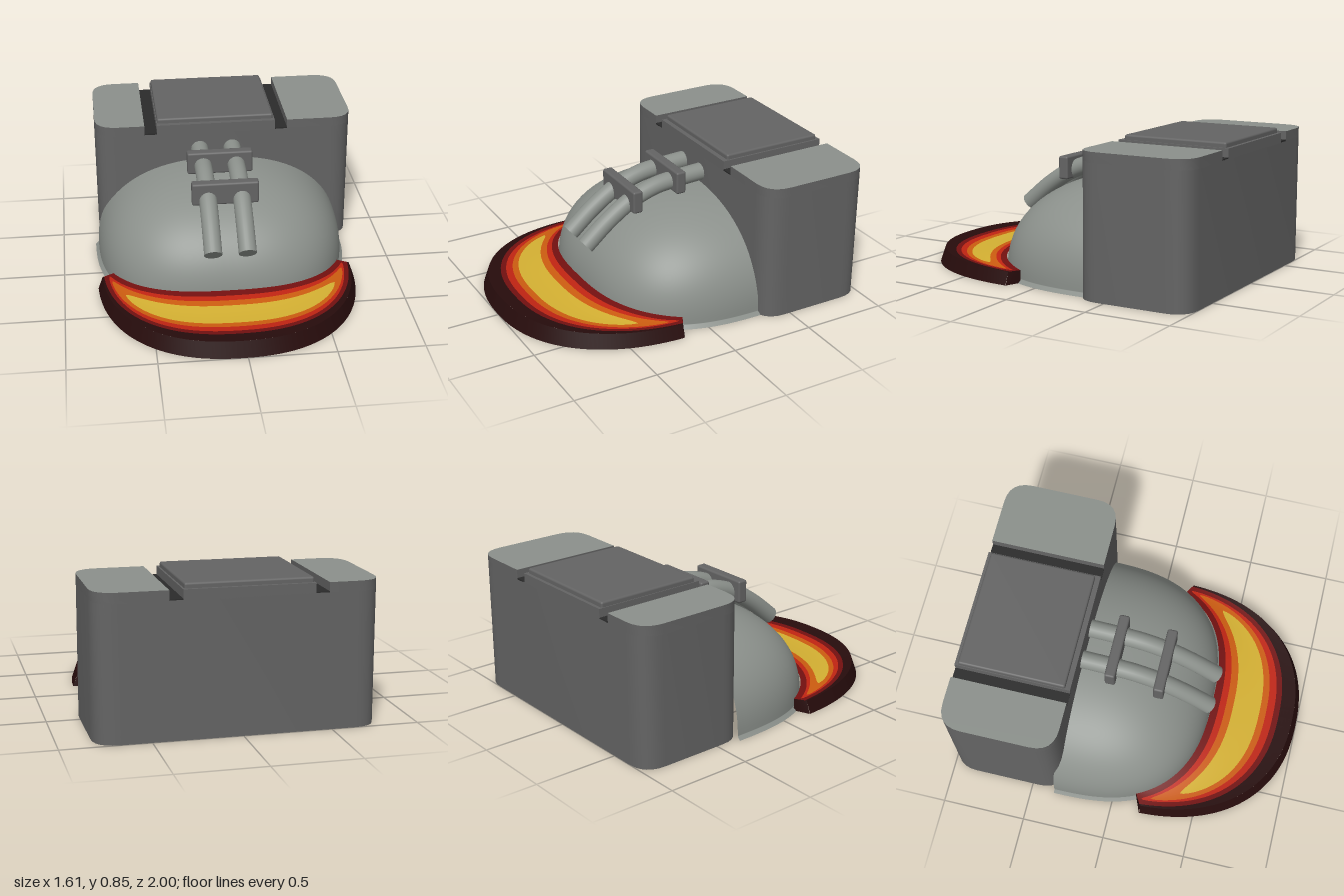
import * as THREE from 'three';
import { toCreasedNormals } from 'three/addons/utils/BufferGeometryUtils.js';
import { RoundedBoxGeometry } from 'three/addons/geometries/RoundedBoxGeometry.js';
import { ParametricGeometry } from 'three/addons/geometries/ParametricGeometry.js';

const mat = (name, color, open = false) => {
  const m = new THREE.MeshStandardMaterial({ color });
  m.name = name;
  if (open) m.side = THREE.DoubleSide;
  return m;
};

// Point on a superellipse, angle measured from +z
const power = (v, e) => Math.sign(v) * Math.abs(v) ** e;
const oval = (angle, a, b, p, zc) => [
  CX + a * power(Math.sin(angle), 2 / p),
  zc + b * Math.max(0, Math.cos(angle)) ** (2 / p),
];
const CX = -0.025;
const domePlan = (angle, k = 1) => oval(angle, 0.755 * k, 0.82 * k, 2.7, -0.36);
const rimPlan = (angle) => oval(angle, 0.775, 0.9, 2.3, 0.1);

export function createModel() {
  const group = new THREE.Group();
  const darkGrey = mat('darkGrey', 0x646464);
  const lightGrey = mat('lightGrey', 0x8b908b, true);
  const black = mat('black', 0x2b2b2b);
  const crust = mat('crust', 0x270c0c, true);
  const darkRed = mat('darkRed', 0x731010, true);
  const red = mat('red', 0xc02412, true);
  const orange = mat('orange', 0xcc5c10, true);
  const yellow = mat('yellow', 0xd4b032, true);

  const add = (name, geometry, material, x = 0, y = 0, z = 0) => {
    const mesh = new THREE.Mesh(geometry, material);
    mesh.name = name;
    mesh.position.set(x, y, z);
    group.add(mesh);
    return mesh;
  };
  const surface = (fn, nu, nv) => {
    const g = new ParametricGeometry((u, v, out) => out.set(...fn(u, v)), nu, nv);
    g.computeVertexNormals();
    return g;
  };

  // Upright block with optionally rounded left and right vertical corners
  const block = (x0, x1, y0, y1, roundMin, roundMax) => {
    const n = 0.32, f = 1.0, s = new THREE.Shape();
    const a = roundMin ? 0.14 : 0, b = roundMax ? 0.14 : 0;
    s.moveTo(x0 + a, n);
    s.lineTo(x1 - b, n);
    if (b) s.quadraticCurveTo(x1, n, x1, n + b);
    s.lineTo(x1, f - b);
    if (b) s.quadraticCurveTo(x1, f, x1 - b, f);
    s.lineTo(x0 + a, f);
    if (a) s.quadraticCurveTo(x0, f, x0, f - a);
    s.lineTo(x0, n + a);
    if (a) s.quadraticCurveTo(x0, n, x0 + a, n);
    const g = new THREE.ExtrudeGeometry(s, { depth: y1 - y0, bevelEnabled: false, curveSegments: 6 });
    g.rotateX(-Math.PI / 2).translate(0, y0, 0);
    return toCreasedNormals(g, 0.6);
  };

  // Rear housing: body, three top sections and the grooves between them
  add('housingBody', block(-0.77, 0.81, 0, 0.765, true, true), darkGrey);
  add('housingEndRight', block(-0.77, -0.47, 0.76, 0.82, true, false), [lightGrey, darkGrey]);
  add('housingEndLeft', block(0.405, 0.81, 0.76, 0.82, false, true), [lightGrey, darkGrey]);
  add('housingCentre', block(-0.395, 0.33, 0.76, 0.82, false, false), darkGrey);
  for (const x of [-0.4325, 0.3675]) {
    add('grooveFloor', new THREE.BoxGeometry(0.075, 0.009, 0.68), black, x, 0.766, -0.66);
  }
  add('lid', new RoundedBoxGeometry(0.71, 0.06, 0.63, 2, 0.012), darkGrey, -0.035, 0.82, -0.665);

  // Rounded front dome with a slightly flared foot
  add('dome', surface((u, v) => {
    const angle = (u - 0.5) * Math.PI;
    const t = Math.max(0, (v - 0.04) / 0.96) * Math.PI / 2;
    const k = v < 0.02 ? 1.025 : Math.max(0, Math.cos(t)) ** (2 / 2.3);
    const y = v < 0.02 ? 0 : 0.02 + 0.57 * Math.sin(t) ** (2 / 2.3);
    const [x, z] = domePlan(angle, k);
    return [x, y, z];
  }, 96, 48), lightGrey);
  const outline = [];
  for (let i = 0; i <= 64; i++) {
    outline.push(new THREE.Vector2(...domePlan((i / 64 - 0.5) * Math.PI, 1.02)));
  }
  const floor = new THREE.ShapeGeometry(new THREE.Shape(outline));
  floor.rotateX(Math.PI / 2);
  add('domeFloor', floor, black, 0, 0.003, 0);

  // Crescent sheet: s runs end to end (-1..1), f from the dome (0) to the rim (1)
  const crescent = (s, f) => {
    const [xi, zi] = domePlan(s * 1.04, 1.005);
    const [xo, zo] = rimPlan(s * 1.51);
    const inner = 0.108 - 0.033 * s * s;
    const outer = 0.093 - 0.018 * s * s;
    const dip = 0.022 * Math.sin(Math.PI * f) * (1 - s * s);
    const pull = 0.965; // rim top sits just inside its foot
    return [
      THREE.MathUtils.lerp(xi, CX + (xo - CX) * pull, f),
      THREE.MathUtils.lerp(inner, outer, f) - dip,
      THREE.MathUtils.lerp(zi, 0.1 + (zo - 0.1) * pull, f),
    ];
  };
  // Each band boundary closes towards the middle at its own tip
  const MID = 0.43;
  const edge = (f, tip) => (s) =>
    MID + (f - MID) * Math.sqrt(Math.max(0, 1 - (s / tip) ** 4));
  const bounds = [
    () => 0, edge(0.09, 0.98), edge(0.17, 0.92), edge(0.26, 0.72),
    edge(0.59, 0.72), edge(0.67, 0.92), edge(0.76, 0.98),
    (s) => 0.83 + 0.03 * s * s, () => 1,
  ];
  const bands = [darkRed, red, orange, yellow, orange, red, darkRed, crust];
  bands.forEach((material, i) => {
    add('crescentBand', surface((u, v) => {
      const s = Math.sin((u - 0.5) * Math.PI);
      return crescent(s, THREE.MathUtils.lerp(bounds[i](s), bounds[i + 1](s), v));
    }, 96, 4), material);
  });

  // Outer wall and the two end walls of the crescent
  add('crescentRim', surface((u, v) => {
    const s = u * 2 - 1;
    const [x, y, z] = crescent(s, 1);
    const [xf, zf] = rimPlan(s * 1.51);
    return [THREE.MathUtils.lerp(xf, x, v), y * v, THREE.MathUtils.lerp(zf, z, v)];
  }, 96, 1), crust);
  for (const s of [-1, 1]) {
    add('crescentEnd', surface((u, v) => {
      const [x, y, z] = crescent(s, u);
      const flare = 1 + 0.036 * u * (1 - v);
      return [CX + (x - CX) * flare, y * v, z];
    }, 4, 1), crust);
  }

  // Twin pipes draped over the dome
  const side = [[0.655, -0.4], [0.643, -0.15], [0.625, 0], [0.57, 0.15], [0.475, 0.3], [0.345, 0.455]];
  for (const x of [-0.135, 0.065]) {
    const points = side.map(([y, z]) => new THREE.Vector3(x, y, z));
    const path = new THREE.CatmullRomCurve3(points);
    add('pipe', new THREE.TubeGeometry(path, 32, 0.053, 24), lightGrey);
    const end = add('pipeEnd', new THREE.CircleGeometry(0.053, 24), lightGrey);
    end.position.copy(points[points.length - 1]);
    end.lookAt(end.position.clone().add(path.getTangent(1)));
  }

  // Clamps across both pipes
  for (const [y, z] of [[0.595, 0.155], [0.655, -0.135]]) {
    add('pipeClamp', new RoundedBoxGeometry(0.395, 0.138, 0.062, 2, 0.012), darkGrey, -0.032, y, z);
  }
  return group;
}
